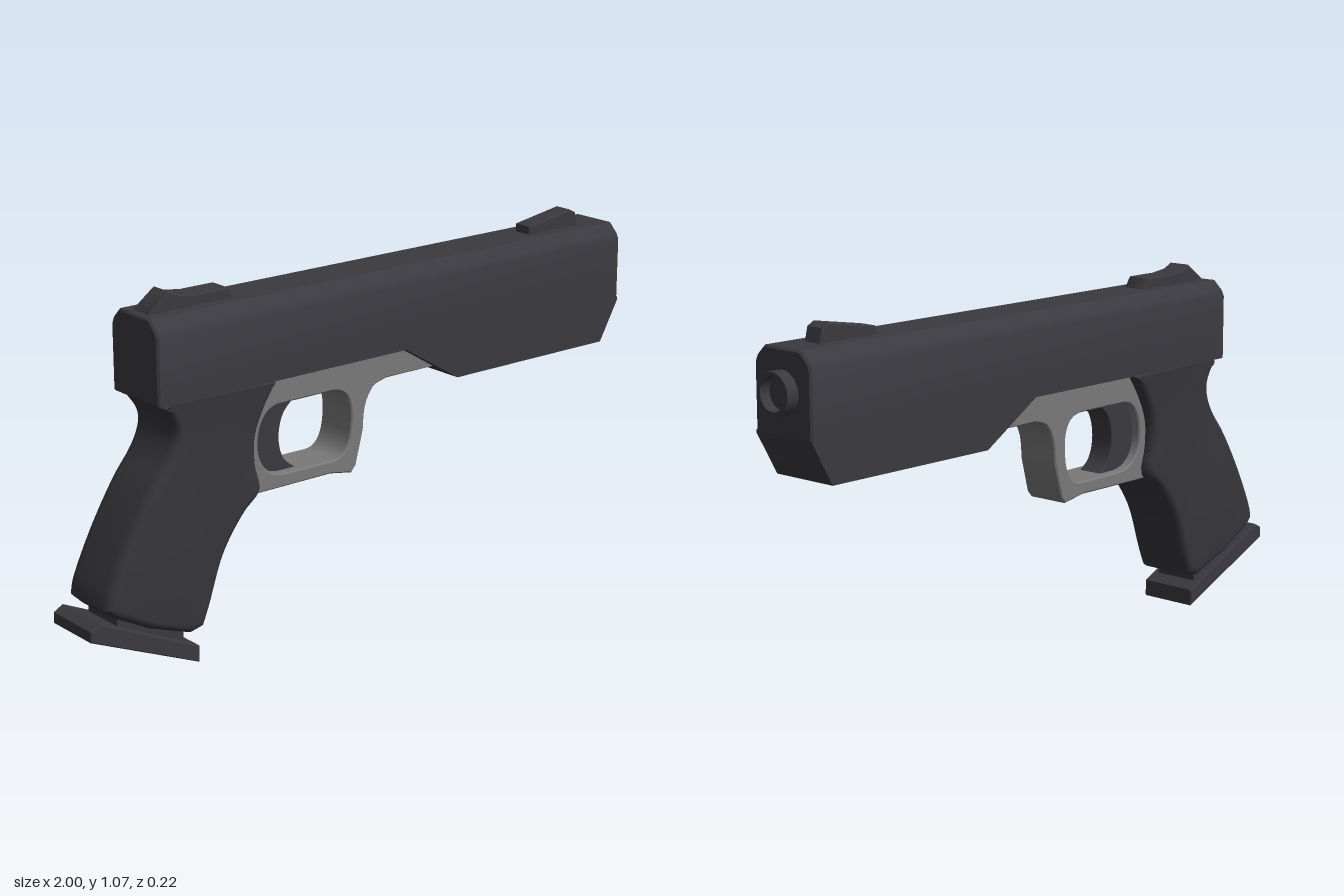
import * as THREE from 'three';
import { toCreasedNormals } from 'three/addons/utils/BufferGeometryUtils.js';

const material = (name, color) => {
  const m = new THREE.MeshStandardMaterial({ color });
  m.name = name;
  return m;
};

const shapeOf = (points) => new THREE.Shape(points.map(([x, y]) => new THREE.Vector2(x, y)));

// Smooth run of points through a few controls
const smooth = (points, n) =>
  new THREE.SplineCurve(points.map(([x, y]) => new THREE.Vector2(x, y)))
    .getPoints(n)
    .map((p) => [p.x, p.y]);

// Extrusion of total width 2 * half, centred on z, with an inward bevel
function slab(shape, half, bevel = 0, thick = bevel, segments = 1) {
  const geometry = new THREE.ExtrudeGeometry(shape, {
    depth: 2 * (half - thick),
    bevelEnabled: bevel > 0,
    bevelSize: bevel,
    bevelOffset: -bevel,
    bevelThickness: thick,
    bevelSegments: segments,
    curveSegments: 12,
  });
  geometry.translate(0, 0, -(half - thick));
  return toCreasedNormals(geometry, 0.6);
}

export function createModel() {
  const group = new THREE.Group();
  const slideMat = material('dark metal', 0x3a393f);
  const gripMat = material('dark grip', 0x36353a);
  const frameMat = material('grey frame', 0x797979);

  const add = (name, geometry, mat) => {
    const mesh = new THREE.Mesh(geometry, mat);
    mesh.name = name;
    group.add(mesh);
  };

  // Slide: chamfered cross-section run along x
  const section = shapeOf([
    [-0.108, 0.775], [0.108, 0.775], [0.108, 0.968], [0.1, 0.986], [0.07, 1.015],
    [-0.07, 1.015], [-0.1, 0.986], [-0.108, 0.968],
  ]);
  const slide = slab(section, 0.866, 0.006);
  slide.rotateY(Math.PI / 2).translate(0.097, 0, 0);
  add('slide', slide, slideMat);

  // Deep front housing below the slide
  add('frontHousing', slab(shapeOf([
    [0.1, 0.785], [0.1, 0.775], [0.3, 0.653], [0.892, 0.653], [0.961, 0.775], [0.961, 0.785],
  ]), 0.108), slideMat);

  // Sights
  add('rearSight', slab(shapeOf([
    [-0.748, 1.005], [-0.455, 1.005], [-0.481, 1.046], [-0.59, 1.046],
    [-0.645, 1.053], [-0.677, 1.068], [-0.742, 1.02],
  ]), 0.037, 0.003), slideMat);
  add('frontSight', slab(shapeOf([
    [0.652, 1.005], [0.858, 1.005], [0.846, 1.055], [0.823, 1.067], [0.652, 1.039],
  ]), 0.031, 0.003), slideMat);

  // Hollow muzzle with a closed bottom
  const muzzle = new THREE.LatheGeometry([
    [0.061, 0.94], [0.061, 0.997], [0.059, 1], [0.047, 1], [0.047, 0.966], [0, 0.966],
  ].map(([r, h]) => new THREE.Vector2(r, h)), 32);
  muzzle.rotateZ(-Math.PI / 2).translate(0, 0.897, 0);
  add('muzzle', toCreasedNormals(muzzle, 0.6), slideMat);

  // Frame and trigger guard, outlined anticlockwise, with a clockwise opening
  const frame = shapeOf([
    [-0.43, 0.78], [-0.5, 0.442], [-0.15, 0.442], [-0.072, 0.428], [-0.055, 0.447],
    ...smooth([[-0.028, 0.55], [-0.02, 0.62], [0.01, 0.672], [0.06, 0.69]], 12),
    [0.3, 0.69], [0.12, 0.78],
  ]);
  const hole = new THREE.Path();
  hole.moveTo(-0.33, 0.69);
  hole.lineTo(-0.15, 0.69);
  hole.bezierCurveTo(-0.09, 0.69, -0.072, 0.65, -0.072, 0.6);
  hole.bezierCurveTo(-0.072, 0.53, -0.09, 0.48, -0.14, 0.48);
  hole.lineTo(-0.32, 0.482);
  hole.bezierCurveTo(-0.38, 0.485, -0.41, 0.53, -0.41, 0.58);
  hole.bezierCurveTo(-0.41, 0.64, -0.385, 0.69, -0.33, 0.69);
  frame.holes.push(hole);
  add('frame', slab(frame, 0.069, 0.004), frameMat);

  // Crescent trigger
  add('trigger', slab(shapeOf([
    [-0.415, 0.7], [-0.415, 0.475],
    ...smooth([[-0.25, 0.475], [-0.298, 0.515], [-0.314, 0.58], [-0.296, 0.65], [-0.24, 0.7]], 16),
  ]), 0.04, 0.003), slideMat);

  // Contoured grip with rounded edges
  const back = smooth([
    [-0.75, 0.77], [-0.715, 0.72], [-0.709, 0.675], [-0.735, 0.615], [-0.797, 0.535],
    [-0.872, 0.412], [-0.934, 0.285], [-0.948, 0.23],
  ], 26);
  const front = smooth([
    [-0.625, 0.103], [-0.598, 0.17], [-0.551, 0.3], [-0.482, 0.4], [-0.42, 0.46],
    [-0.434, 0.54], [-0.434, 0.62], [-0.404, 0.695], [-0.356, 0.77],
  ], 30);
  add('grip', slab(shapeOf([
    ...back, [-0.92, 0.203], [-0.8, 0.14], [-0.67, 0.093], ...front,
  ]), 0.103, 0.024, 0.034, 5), gripMat);

  // Magazine neck and slanted base plate
  add('magazineNeck', slab(shapeOf([
    [-0.9, 0.24], [-0.9, 0.15], [-0.685, 0.05], [-0.675, 0.14],
  ]), 0.07), slideMat);
  add('magazineBase', slab(shapeOf([
    [-1, 0.156], [-0.642, 0], [-0.642, 0.05], [-0.97, 0.204], [-1, 0.188],
  ]), 0.093, 0.003), slideMat);

  return group;
}
